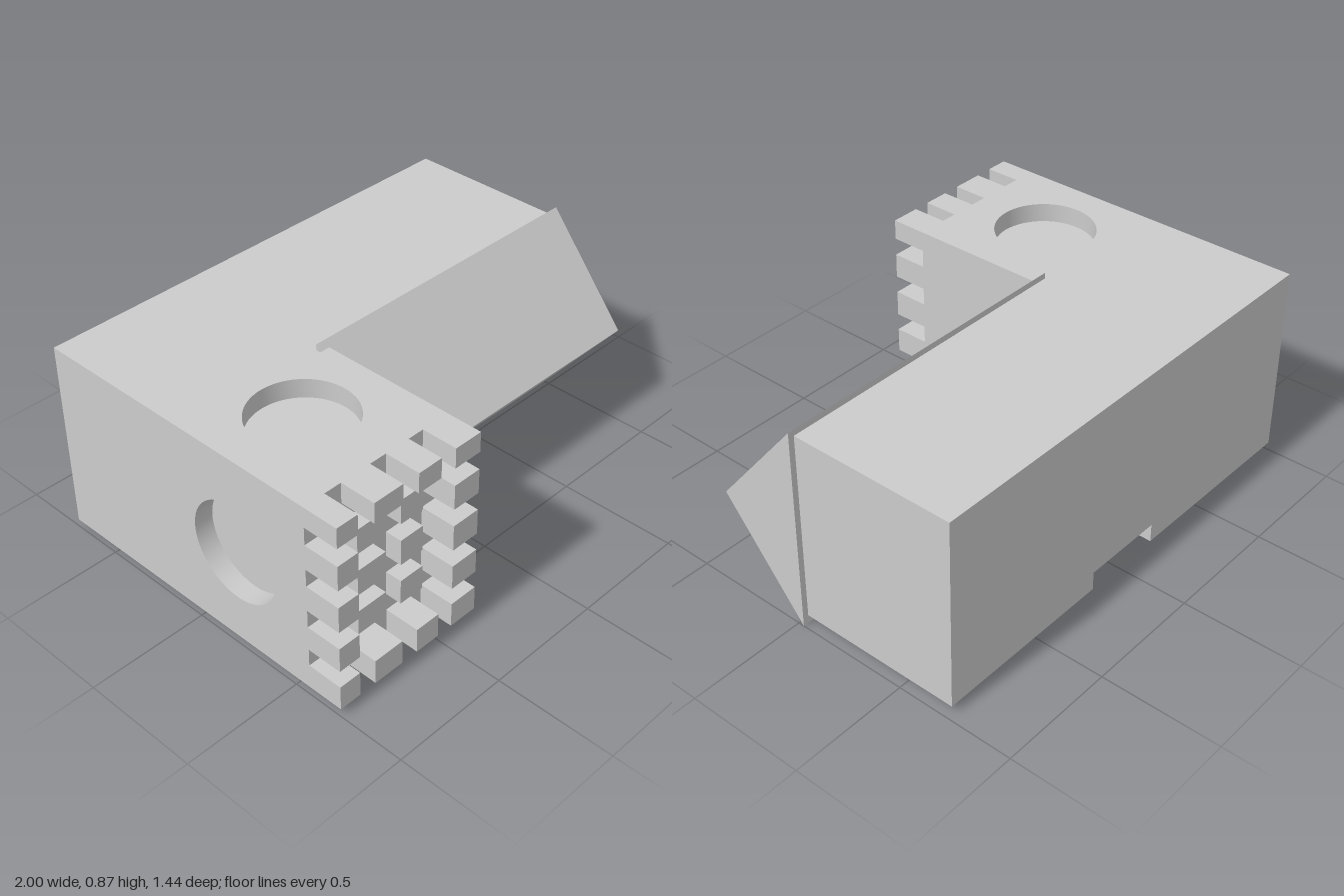
import * as THREE from 'three';
import { toCreasedNormals } from 'three/addons/utils/BufferGeometryUtils.js';

const material = new THREE.MeshStandardMaterial({ color: 0xcccccc });

function polygon(points) {
  return new THREE.Shape(points.map(([a, b]) => new THREE.Vector2(a, b)));
}

function circleHole(shape, x, y, r) {
  shape.holes.push(new THREE.Path().absarc(x, y, r, 0, Math.PI * 2, true));
}

function extrude(shape, depth) {
  return new THREE.ExtrudeGeometry(shape, { depth, bevelEnabled: false, curveSegments: 32 });
}

export function createModel() {
  const group = new THREE.Group();

  function add(name, geometry) {
    const mesh = new THREE.Mesh(toCreasedNormals(geometry, 0.5), material);
    mesh.name = name;
    group.add(mesh);
    return mesh;
  }

  function box(name, x0, x1, y0, y1, z0, z1) {
    const mesh = add(name, new THREE.BoxGeometry(x1 - x0, y1 - y0, z1 - z0));
    mesh.position.set((x0 + x1) / 2, (y0 + y1) / 2, (z0 + z1) / 2);
  }

  // L-shaped plan of the body (shape y is -z), with an optional notch in the back edge
  function plan(left, notch) {
    const points = [[left, -0.57], [-0.315, -0.57], [-0.315, 0.02], [0.975, 0.02], [0.975, 0.72]];
    if (notch) points.push([0.19, 0.72], [0.19, 0.22], [-0.17, 0.22], [-0.17, 0.72]);
    points.push([left, 0.72]);
    return polygon(points);
  }

  function slab(name, shape, y0, y1) {
    add(name, extrude(shape, y1 - y0).rotateX(-Math.PI / 2).translate(0, y0, 0));
  }

  // Bottom layers: round recess, back notch and three small pockets
  const base = plan(-1, true);
  circleHole(base, -0.66, -0.215, 0.206);
  for (let i = 0; i < 3; i++) {
    const x = 0.76 - i * 0.23;
    base.holes.push(polygon([[x, 0.11], [x, 0.22], [x + 0.13, 0.22], [x + 0.13, 0.11]]));
  }
  slab('bodyBase', base, 0.035, 0.075);
  const lower = plan(-1, true);
  circleHole(lower, -0.66, -0.215, 0.206);
  slab('bodyLower', lower, 0.075, 0.115);

  // Solid core, and the top layer with its round recess
  slab('bodyCore', plan(-0.92, false), 0.115, 0.765);
  const top = plan(-1, false);
  circleHole(top, -0.66, -0.215, 0.206);
  slab('bodyTop', top, 0.765, 0.845);

  // Side plate with a round recess
  const side = polygon([[-0.57, 0.115], [0.72, 0.115], [0.72, 0.765], [-0.57, 0.765]]);
  circleHole(side, -0.215, 0.435, 0.206);
  add('sidePlate', extrude(side, 0.08).rotateY(Math.PI / 2).translate(-1, 0, 0));

  // Grid of square teeth; the inner ones are shorter
  const columns = [[-1, -0.905], [-0.83, -0.695], [-0.62, -0.51], [-0.44, -0.315]];
  const rows = [[0.035, 0.14], [0.215, 0.32], [0.395, 0.505], [0.58, 0.685], [0.76, 0.845]];
  columns.forEach(([x0, x1], i) => rows.forEach(([y0, y1], j) => {
    const inner = i > 0 && i < 3 && j > 0 && j < 4;
    box('tooth', x0, x1, y0, y1, 0.57, inner ? 0.64 : 0.72);
  }));

  // Triangular prism along the front
  const wedge = polygon([[0.025, 0], [0.025, 0.87], [-0.335, 0.435]]);
  add('frontWedge', extrude(wedge, 1.36).rotateY(Math.PI / 2).translate(-0.36, 0, 0));

  return group;
}
